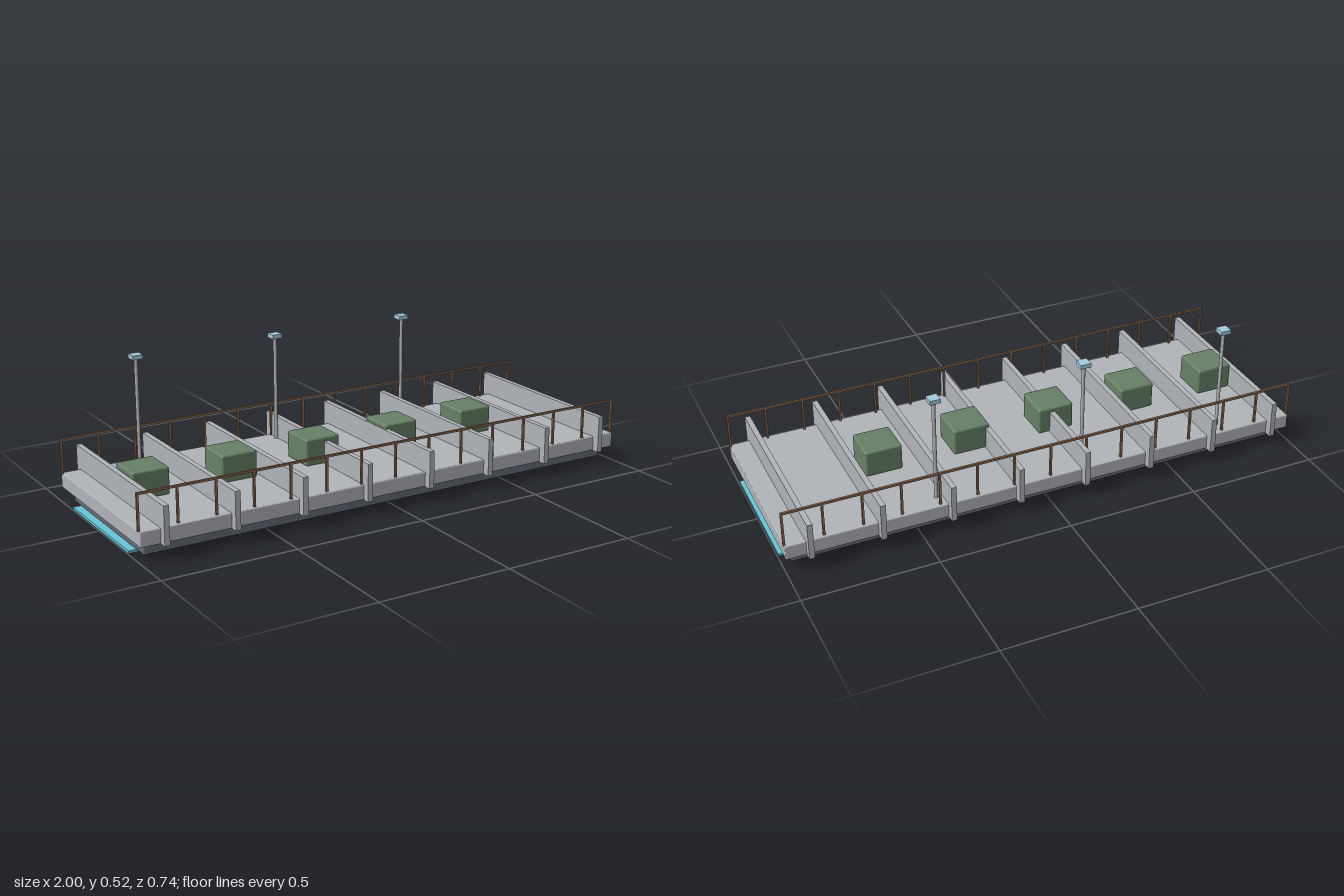
import * as THREE from 'three';
import { RoundedBoxGeometry } from 'three/addons/geometries/RoundedBoxGeometry.js';

const mat = (color) => new THREE.MeshStandardMaterial({ color });

export function createModel() {
  const model = new THREE.Group();
  const concrete = mat(0xb0b3b8), dark = mat(0x666a76), green = mat(0x668066);
  const brown = mat(0x8f6a50), cyan = mat(0x66c4d6), lampBlue = mat(0xa4cbdd);

  const add = (name, geometry, material, x, y, z, parent = model) => {
    const mesh = new THREE.Mesh(geometry, material);
    mesh.name = name;
    mesh.position.set(x, y, z);
    parent.add(mesh);
  };
  // Box given by its bottom and top heights; a radius rounds its edges
  const block = (name, material, w, d, y0, y1, x = 0, z = 0, radius = 0, parent = model) => {
    const h = y1 - y0;
    const geometry = radius ? new RoundedBoxGeometry(w, h, d, 2, radius) : new THREE.BoxGeometry(w, h, d);
    add(name, geometry, material, x, (y0 + y1) / 2, z, parent);
  };

  // Stacked platform: glowing underside, dark hull and deck
  block('undersidePanel', cyan, 1.994, 0.48, 0, 0.01);
  block('hull', dark, 1.936, 0.598, 0.008, 0.054, 0, 0, 0.005);
  block('deck', concrete, 1.994, 0.682, 0.054, 0.11, 0, 0, 0.004);

  // Cross ribs
  for (let i = 0; i < 8; i++) {
    block('crossRib', concrete, 0.02, 0.738, 0.054, 0.195, -0.913 + i * 0.2608);
  }

  // Planter blocks along the centre line
  for (let i = 0; i < 5; i++) {
    block('planter', green, 0.14, 0.14, 0.11, 0.212, -0.829 + i * 0.3415, 0, 0.008);
  }

  // Railings on both long sides
  for (const side of [1, -1]) {
    const railing = new THREE.Group();
    railing.name = side > 0 ? 'frontRailing' : 'backRailing';
    const z = side * 0.328;
    block('topRail', brown, 2, 0.008, 0.235, 0.243, 0, z, 0, railing);
    for (let i = 0; i < 15; i++) {
      block('railPost', brown, 0.008, 0.008, 0.108, 0.237, -0.996 + i * (1.992 / 14), z, 0, railing);
    }
    model.add(railing);
  }

  // Lamps along the back
  const poleGeometry = new THREE.CylinderGeometry(0.007, 0.007, 0.4, 10);
  for (let i = 0; i < 3; i++) {
    const x = -0.714 + i * 0.5695;
    add('lampPole', poleGeometry, concrete, x, 0.309, -0.284);
    block('lampHead', lampBlue, 0.04, 0.04, 0.507, 0.523, x, -0.284);
  }
  return model;
}
